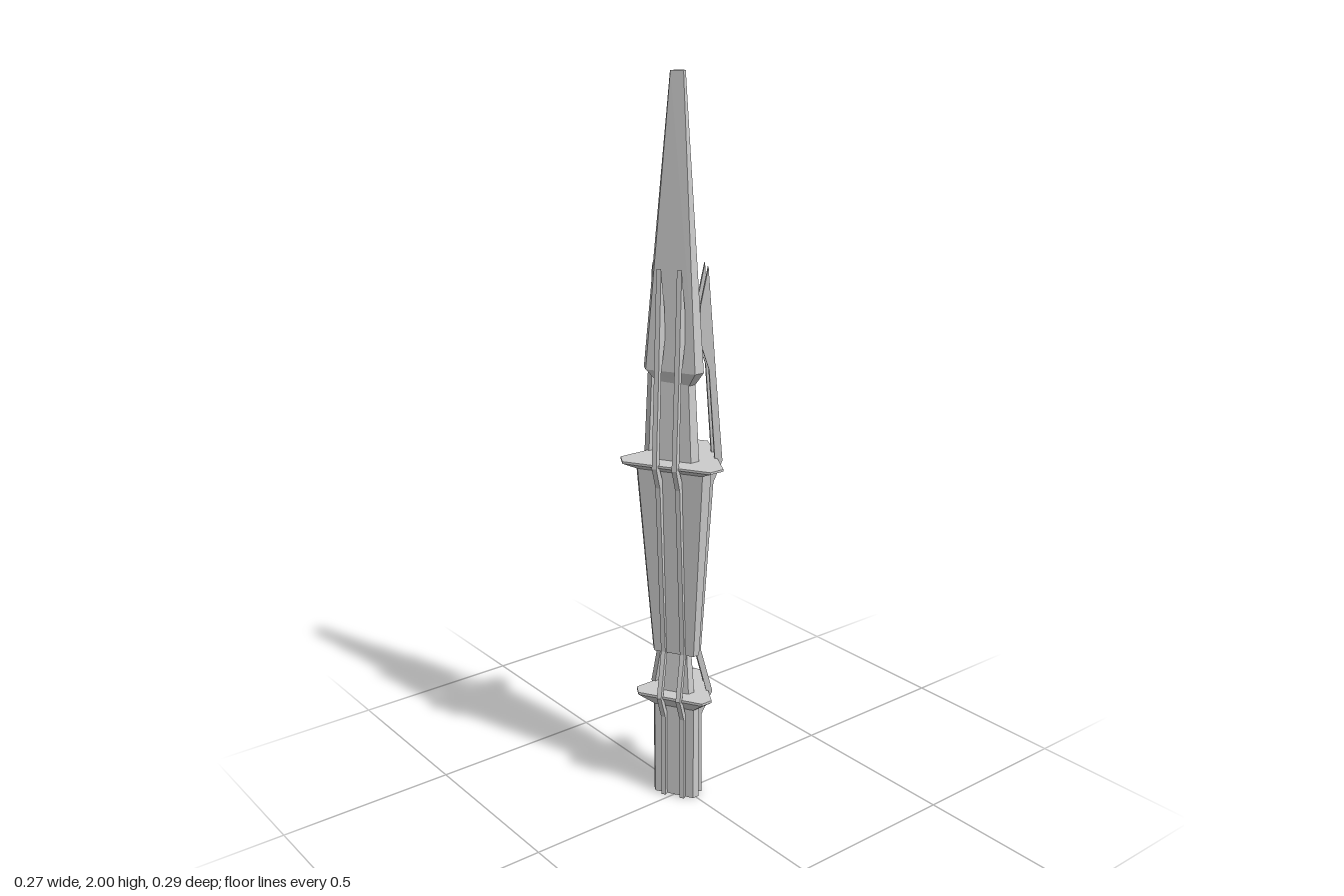
import * as THREE from 'three';

const CX = -0.023; // axis of the three-sided symmetry
const material = new THREE.MeshStandardMaterial({ color: 0xcccccc, flatShading: true });

// Corner-cut triangle: flats at distance r, cut corners at distance v, one corner toward +x
function section([y, r, v, cx = CX, zScale = 1]) {
  const h = (2 * r - v) / Math.sqrt(3);
  const points = [];
  for (let k = 0; k < 3; k++) {
    const a = k * Math.PI * 2 / 3;
    for (const s of [-h, h]) {
      points.push([
        cx + v * Math.cos(a) - s * Math.sin(a),
        y,
        (v * Math.sin(a) + s * Math.cos(a)) * zScale,
      ]);
    }
  }
  return points;
}

// Capped loft through sections listed from bottom to top
function loft(name, levels) {
  const rings = levels.map(section);
  const positions = [];
  const tri = (...corners) => corners.forEach((p) => positions.push(...p));
  for (let j = 0; j + 1 < rings.length; j++) {
    const a = rings[j], b = rings[j + 1];
    for (let i = 0; i < 6; i++) {
      const n = (i + 1) % 6;
      tri(a[i], b[i], b[n]);
      tri(a[i], b[n], a[n]);
    }
  }
  const bottom = rings[0], top = rings[rings.length - 1];
  for (let i = 1; i < 5; i++) {
    tri(bottom[0], bottom[i], bottom[i + 1]);
    tri(top[0], top[i + 1], top[i]);
  }
  const geometry = new THREE.BufferGeometry();
  geometry.setAttribute('position', new THREE.Float32BufferAttribute(positions, 3));
  geometry.computeVertexNormals();
  const mesh = new THREE.Mesh(geometry, material);
  mesh.name = name;
  return mesh;
}

// Long bent rib, drawn as (distance from axis, height)
function ribGeometry() {
  const outer = [
    [0.057, 0], [0.057, 0.25], [0.087, 0.32], [0.054, 0.45],
    [0.086, 0.94], [0.11, 1.0], [0.09, 1.25], [0.07, 1.52],
  ];
  const inner = [
    [0.062, 1.48], [0.05, 1.42], [0.045, 1.34], [0.06, 1.29], [0.073, 1.25],
    [0.09, 1.0], [0.06, 0.94], [0.038, 0.45], [0.07, 0.32], [0.04, 0.25], [0.04, 0],
  ];
  const shape = new THREE.Shape([...outer, ...inner].map(([x, y]) => new THREE.Vector2(x, y)));
  const thickness = 0.013;
  const geometry = new THREE.ExtrudeGeometry(shape, { depth: thickness, bevelEnabled: false });
  return geometry.translate(0, 0, -thickness / 2);
}

export function createModel() {
  const model = new THREE.Group();
  model.name = 'spireTower';

  // Central body, from the ground up
  model.add(
    loft('shaft', [[0, 0.045, 0.073], [0.285, 0.045, 0.073]]),
    loft('lowerCollar', [[0.28, 0.045, 0.073], [0.315, 0.075, 0.12], [0.322, 0.075, 0.12]]),
    loft('neck', [[0.32, 0.035, 0.052], [0.45, 0.027, 0.04]]),
    loft('body', [[0.445, 0.045, 0.073], [0.985, 0.07, 0.115]]),
    loft('upperCollar', [[0.983, 0.072, 0.117], [1.0, 0.097, 0.156], [1.006, 0.097, 0.156]]),
    loft('core', [[1.0, 0.045, 0.066], [1.22, 0.036, 0.052]]),
    loft('spire', [
      [1.213, 0.038, 0.057, -0.027, 0.95],
      [1.25, 0.059, 0.091, -0.031, 0.93],
      [2, 0.014, 0.022, CX, 1],
    ]),
  );

  // A pair of ribs on each of the three flats
  const geometry = ribGeometry();
  for (let k = 0; k < 3; k++) {
    const pair = new THREE.Group();
    pair.name = 'ribPair';
    pair.position.x = CX;
    pair.rotation.y = Math.PI + k * Math.PI * 2 / 3;
    for (const side of [-1, 1]) {
      const rib = new THREE.Mesh(geometry, material);
      rib.name = 'rib';
      rib.position.z = side * 0.028;
      pair.add(rib);
    }
    model.add(pair);
  }
  return model;
}
